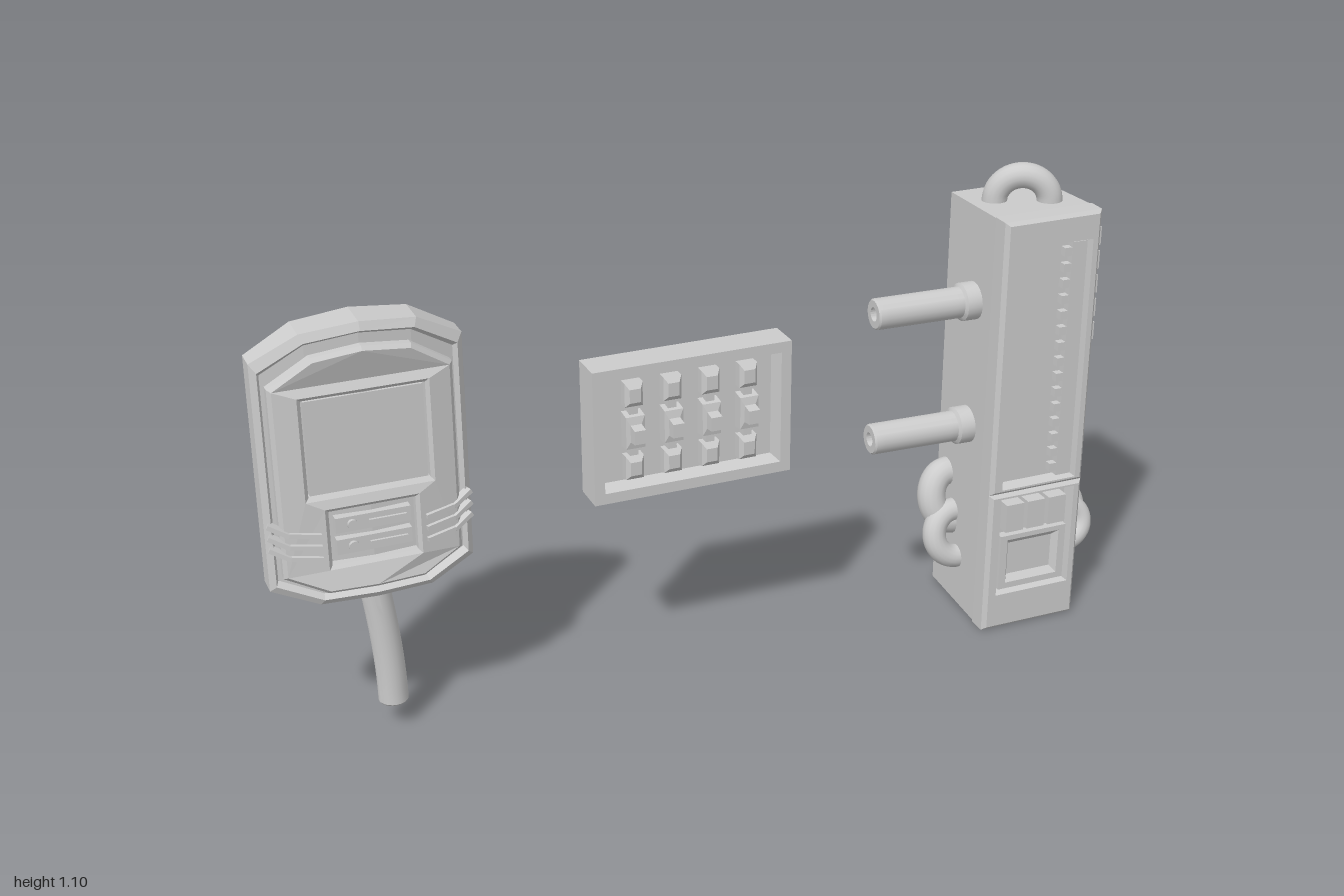
import * as THREE from 'three';
import { toCreasedNormals } from 'three/addons/utils/BufferGeometryUtils.js';

const material = new THREE.MeshStandardMaterial({ color: 0xcccccc });

function add(parent, name, geometry, x = 0, y = 0, z = 0) {
  const mesh = new THREE.Mesh(geometry, material);
  mesh.name = name;
  mesh.position.set(x, y, z);
  parent.add(mesh);
  return mesh;
}
const box = (parent, name, w, h, d, x, y, z) => add(parent, name, new THREE.BoxGeometry(w, h, d), x, y, z);

function group(parent, name, x = 0, y = 0, z = 0) {
  const g = new THREE.Group();
  g.name = name;
  g.position.set(x, y, z);
  parent.add(g);
  return g;
}

// Flat-shaded skin over rings listed back to front, each counterclockwise from +z
function loft(rings) {
  const pos = [];
  const quad = (a, b, c, d) => pos.push(...a, ...b, ...c, ...a, ...c, ...d);
  const n = rings[0].length;
  for (let r = 0; r + 1 < rings.length; r++) {
    for (let i = 0; i < n; i++) {
      const j = (i + 1) % n;
      quad(rings[r][i], rings[r][j], rings[r + 1][j], rings[r + 1][i]);
    }
  }
  const first = rings[0], last = rings[rings.length - 1];
  for (let i = 0; i < n / 2 - 1; i++) {
    quad(last[i], last[i + 1], last[n - 2 - i], last[n - 1 - i]);
    quad(first[n - 1 - i], first[n - 2 - i], first[i + 1], first[i]);
  }
  const g = new THREE.BufferGeometry();
  g.setAttribute('position', new THREE.Float32BufferAttribute(pos, 3));
  g.computeVertexNormals();
  return g;
}

const rect = (x0, x1, y0, y1, z) => [[x0, y0, z], [x1, y0, z], [x1, y1, z], [x0, y1, z]];

// Clipped-corner outline with a bowed top; k curves it in depth
function outline(a, top, bottom, z, k = 0) {
  const cols = [-1, -0.55, 0, 0.55, 1];
  const topDrop = [0.07, 0.013, 0, 0.013, 0.07], lowRise = [0.04, 0, 0, 0, 0.04];
  const point = (i, y) => [cols[i] * a, y, z + k * (cols[i] * a) ** 2];
  return [
    ...cols.map((c, i) => point(i, bottom + lowRise[i])),
    ...cols.map((c, i) => point(i, top - topDrop[i])).reverse(),
  ];
}

// Round hollow-ended rod growing up from y = 0, with a collar at its far end
function rod(r, length, collarR, collarLength) {
  const p = [[0, 0.03], [r * 0.45, 0.03], [r * 0.45, 0], [r * 0.9, 0], [r, 0.004]];
  for (let i = 1; i <= 10; i++) p.push([r, 0.004 + (length - collarLength - 0.004) * i / 10]);
  p.push([collarR, length - collarLength + 0.005], [collarR, length]);
  return new THREE.LatheGeometry(p.map(([x, y]) => new THREE.Vector2(x, y)), 20);
}

// Half-loop of tube between two points, bulging along dir
function loop(parent, name, from, to, dir, bulge, r) {
  const a = new THREE.Vector3(...from), b = new THREE.Vector3(...to), d = new THREE.Vector3(...dir);
  const mid = a.clone().add(b).multiplyScalar(0.5), half = a.clone().sub(mid);
  const pts = [a.clone().addScaledVector(d, -0.03)];
  for (let i = 0; i <= 10; i++) {
    const t = Math.PI * i / 10;
    pts.push(mid.clone().addScaledVector(half, Math.cos(t)).addScaledVector(d, bulge * Math.sin(t)));
  }
  pts.push(b.clone().addScaledVector(d, -0.03));
  add(parent, name, new THREE.TubeGeometry(new THREE.CatmullRomCurve3(pts), 32, r, 16));
}

function handheld(parent) {
  const g = group(parent, 'handheld', -0.78);
  const k = -0.7;
  add(g, 'handheldShell', loft([
    outline(0.17, 0.935, 0.42, -0.11, 0.8),
    outline(0.18, 0.945, 0.41, -0.075),
    outline(0.2, 0.965, 0.38, -0.075),
    outline(0.22, 0.983, 0.36, -0.05),
    outline(0.22, 0.983, 0.36, 0.035, k),
    outline(0.207, 0.965, 0.373, 0.043, k),
    outline(0.2, 0.955, 0.38, 0.025, k),
  ]));

  // Raised face with two windows, curved from side to side
  const face = new THREE.Shape(outline(0.184, 0.925, 0.396, 0).map(([x, y]) => new THREE.Vector2(x, y)));
  const hole = (x, y0, y1) => face.holes.push(new THREE.Path(
    rect(-x, x, y0, y1, 0).map(([px, py]) => new THREE.Vector2(px, py))));
  hole(0.137, 0.605, 0.837);
  hole(0.1, 0.445, 0.585);
  const faceGeo = new THREE.ExtrudeGeometry(face, {
    depth: 0.025, bevelSize: 0.008, bevelThickness: 0.008, bevelSegments: 1,
  });
  const p = faceGeo.attributes.position;
  for (let i = 0; i < p.count; i++) p.setZ(i, p.getZ(i) + 0.017 + k * p.getX(i) ** 2);
  faceGeo.computeVertexNormals();
  add(g, 'facePlate', faceGeo);
  box(g, 'screen', 0.25, 0.21, 0.02, 0, 0.72, 0.018);

  // Control strip
  for (const y of [0.542, 0.492]) {
    box(g, 'controlBar', 0.16, 0.034, 0.03, 0, y, 0.024);
    const button = add(g, 'controlButton', new THREE.CylinderGeometry(0.011, 0.011, 0.01, 12), -0.045, y, 0.042);
    button.rotation.x = Math.PI / 2;
    box(g, 'controlSlider', 0.08, 0.008, 0.01, 0.03, y, 0.04);
  }

  // Side grip ribs
  for (const side of [-1, 1]) {
    for (let i = 0; i < 3; i++) {
      const y = 0.545 - i * 0.027;
      const inner = box(g, 'gripRib', 0.065, 0.01, 0.012, side * 0.143, y - 0.012, 0.037);
      inner.rotation.set(0, side * 0.2, side * 0.12);
      const outer = box(g, 'gripRib', 0.05, 0.01, 0.02, side * 0.194, y + 0.002, 0.02);
      outer.rotation.set(0, side * 0.3, side * 0.5);
    }
  }

  // Bent cable
  const cable = rod(0.033, 0.32, 0.039, 0.035);
  const c = cable.attributes.position;
  for (let i = 0; i < c.count; i++) {
    const t = 1 - c.getY(i) / 0.32;
    c.setX(i, c.getX(i) + 0.028 * Math.sin(t * Math.PI / 2));
  }
  add(g, 'cable', toCreasedNormals(cable, 0.6), 0.003, 0.06, -0.03);
}

function switchPanel(parent) {
  const g = group(parent, 'switchPanel', -0.045, 0.6125);
  const tray = (w, h, z) => rect(-w, w, -h, h, z);
  add(g, 'switchTray', loft([
    tray(0.234, 0.158, -0.08), tray(0.234, 0.158, 0),
    tray(0.21, 0.133, 0), tray(0.2, 0.124, -0.035),
  ]));
  for (let i = 0; i < 4; i++) {
    const s = group(g, 'switch', -0.135 + i * 0.09, 0, -0.035);
    box(s, 'switchRail', 0.02, 0.21, 0.02, 0, 0, 0.01);
    for (const y of [-0.087, 0.087]) {
      add(s, 'switchClip', loft([tray(0.021, 0.028, 0), tray(0.021, 0.028, 0.022), tray(0.013, 0.016, 0.032)]), 0, y);
    }
    add(s, 'toggle', loft([
      tray(0.022, 0.042, 0), tray(0.022, 0.038, 0.03), tray(0.013, 0.02, 0.034), tray(0.013, 0.016, 0.059),
    ]));
  }
}

function tower(parent) {
  const g = group(parent, 'tower');
  add(g, 'towerBody', loft([rect(0.648, 0.878, 0.015, 1.01, -0.135), rect(0.641, 0.884, 0.003, 1.018, 0.09)]));

  // Two recessed front trays
  const frontTray = (name, y0, y1, iy0, iy1) => add(g, name, loft([
    rect(0.64, 0.885, y0, y1, 0.08), rect(0.64, 0.885, y0, y1, 0.122),
    rect(0.65, 0.877, y0 + 0.008, y1 - 0.008, 0.13),
    rect(0.67, 0.864, iy0 - 0.005, iy1 + 0.005, 0.13), rect(0.677, 0.857, iy0, iy1, 0.1),
  ]));
  frontTray('rackTray', 0.355, 1.02, 0.372, 0.95);
  frontTray('controlTray', 0, 0.355, 0.095, 0.338);

  // Toothed rack
  box(g, 'rackRail', 0.038, 0.576, 0.02, 0.838, 0.661, 0.108);
  for (let i = 0; i < 15; i++) box(g, 'rackTooth', 0.02, 0.02, 0.018, 0.811, 0.395 + i * 0.038, 0.108);

  // Small switches above a sunken display
  for (let i = 0; i < 3; i++) box(g, 'frontSwitch', 0.046, 0.07, 0.036, 0.708 + i * 0.056, 0.29, 0.114);
  add(g, 'frontDisplay', loft([
    rect(0.68, 0.854, 0.1, 0.24, 0.1), rect(0.68, 0.854, 0.1, 0.24, 0.122),
    rect(0.698, 0.836, 0.115, 0.228, 0.122), rect(0.708, 0.824, 0.13, 0.213, 0.108),
  ]));

  // Side panels facing +x
  const side = group(g, 'sidePanels', 0.875);
  side.rotation.y = Math.PI / 2;
  const sidePanel = (name, y0, y1) => add(side, name, loft([
    rect(-0.105, 0.115, y0, y1, -0.01), rect(-0.105, 0.115, y0, y1, 0.012),
    rect(-0.088, 0.1, y0 + 0.025, y1 - 0.02, 0.032),
  ]));
  sidePanel('louverPanel', 0.655, 0.99);
  sidePanel('socketPanel', 0.038, 0.37);
  for (let i = 0; i < 5; i++) box(side, 'louver', 0.168, 0.043, 0.02, 0.004, 0.938 - i * 0.0575, 0.032);

  // Cable loops and carrying handle
  loop(g, 'largeSideLoop', [0.9, 0.255, -0.054], [0.9, 0.135, -0.016], [1, 0, 0], 0.068, 0.032);
  loop(g, 'smallSideLoop', [0.9, 0.238, 0.018], [0.9, 0.148, 0.048], [1, 0, 0], 0.055, 0.024);
  loop(g, 'rearHoseLoop', [0.645, 0.325, -0.09], [0.645, 0.21, -0.06], [-1, 0, 0], 0.045, 0.034);
  loop(g, 'frontHoseLoop', [0.645, 0.24, -0.05], [0.645, 0.13, -0.02], [-1, 0, 0], 0.055, 0.028);
  loop(g, 'handle', [0.705, 1.015, -0.04], [0.815, 1.015, 0.015], [0, 1, 0], 0.058, 0.029);

  // Hollow pipes
  for (const y of [0.795, 0.487]) {
    const pipe = add(g, 'pipe', toCreasedNormals(rod(0.036, 0.255, 0.044, 0.045), 0.6), 0.395, y, -0.012);
    pipe.rotation.set(0, -0.04, -Math.PI / 2);
  }
}

export function createModel() {
  const model = new THREE.Group();
  model.name = 'equipmentSet';
  handheld(model);
  switchPanel(model);
  tower(model);
  return model;
}
